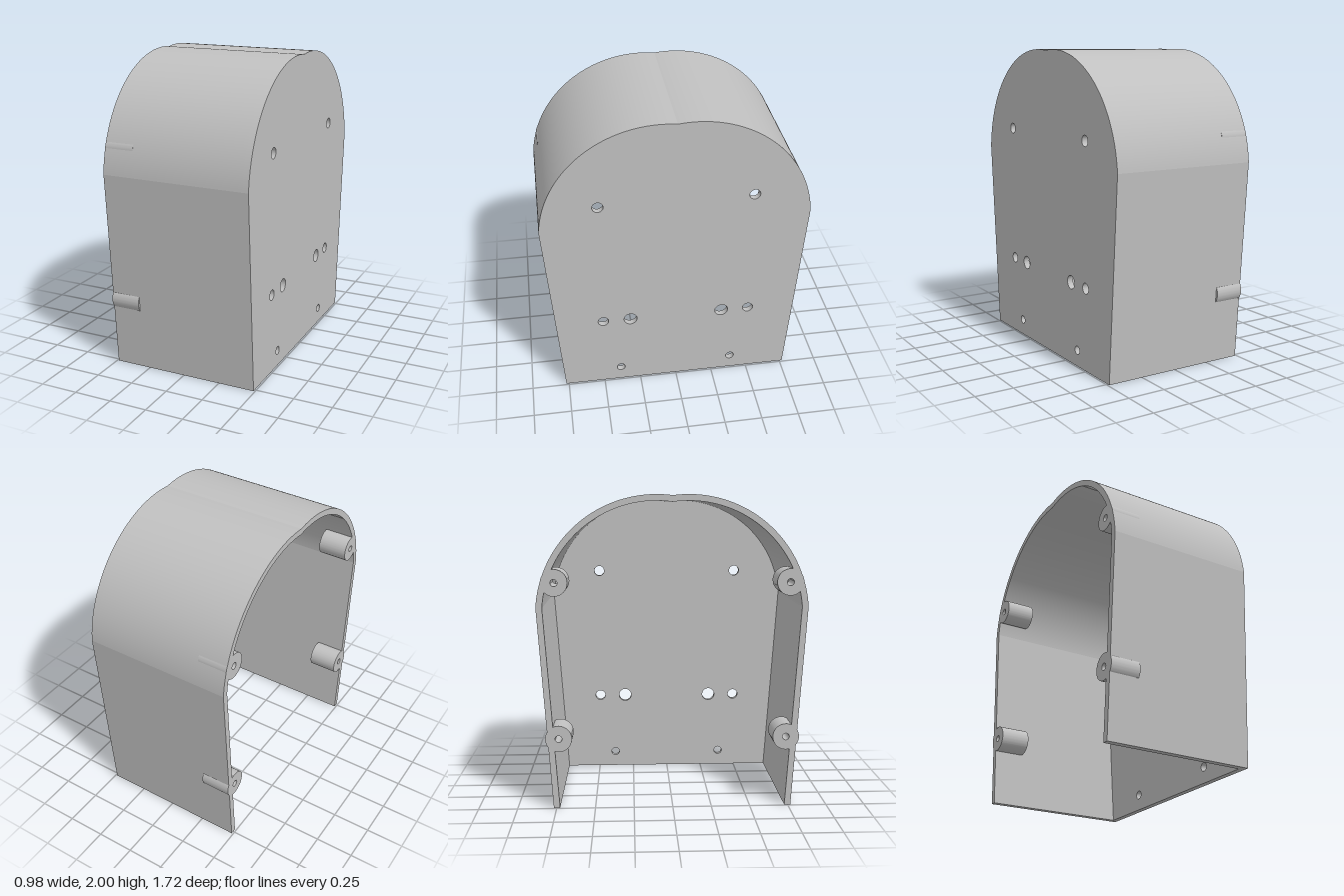
import * as THREE from 'three';
import { toCreasedNormals } from 'three/addons/utils/BufferGeometryUtils.js';

const HALF = 0.49;      // half width along x
const WALL = 0.04;      // sheet thickness
const R = 0.76;         // radius of each top lobe
const LOBE = 0.1;       // lobe centre offset
const LOBE_Y = 1.24;
const FOOT = 0.768;     // half depth at the base
const START = Math.asin(0.06 / R);

// Half-depth outline of the cover, inset by t: sloping sides and a twin-lobed top
function outline(t) {
  const r = R - t;
  const notch = Math.PI / 2 + Math.asin(LOBE / r);
  const s = new THREE.Shape();
  s.moveTo(FOOT - t, 0);
  s.lineTo(LOBE + r * Math.cos(START), LOBE_Y + r * Math.sin(START));
  s.absarc(LOBE, LOBE_Y, r, START, notch, false);
  s.absarc(-LOBE, LOBE_Y, r, Math.PI - notch, Math.PI - START, false);
  s.lineTo(-(FOOT - t), 0);
  return s;
}

function circle(Type, u, y, r) {
  const p = new Type();
  p.absarc(u, y, r, 0, Math.PI * 2, false);
  return p;
}

// Extrude a side-on shape along x, from x0 to x1
function extrudeX(shape, x0, x1, material, name) {
  const geo = new THREE.ExtrudeGeometry(shape, { depth: x1 - x0, bevelEnabled: false, curveSegments: 40 });
  geo.rotateY(Math.PI / 2);
  geo.translate(x0, 0, 0);
  const mesh = new THREE.Mesh(toCreasedNormals(geo, 0.11), material);
  mesh.name = name;
  return mesh;
}

export function createModel() {
  const group = new THREE.Group();
  group.name = 'cover';
  const grey = new THREE.MeshStandardMaterial({ color: 0xc0c0c0 });
  grey.name = 'grey';

  // End plate with mirrored pairs of holes: [offset, height, radius]
  const plate = outline(0);
  const holes = [[0.49, 1.457, 0.035], [0.49, 0.537, 0.035], [0.308, 0.537, 0.044], [0.383, 0.106, 0.028]];
  for (const [u, y, r] of holes) {
    for (const side of [-1, 1]) plate.holes.push(circle(THREE.Path, side * u, y, r));
  }
  group.add(extrudeX(plate, HALF - WALL, HALF, grey, 'endPlate'));

  // Bent wall, open at the base and at the far end
  const inner = outline(WALL).getPoints(40).reverse();
  const wall = outline(0);
  inner.forEach((p) => wall.lineTo(p.x, p.y));
  wall.closePath();
  group.add(extrudeX(wall, -HALF, HALF - WALL, grey, 'archWall'));

  // Screw bosses inside the open end: [offset, height]
  for (const [u, y] of [[0.73, 0.457], [0.742, 1.455]]) {
    for (const side of [-1, 1]) {
      const boss = circle(THREE.Shape, side * u, y, 0.085);
      boss.holes.push(circle(THREE.Path, side * u, y, 0.022));
      group.add(extrudeX(boss, -HALF, -0.295, grey, 'screwBoss'));
    }
  }
  return group;
}
